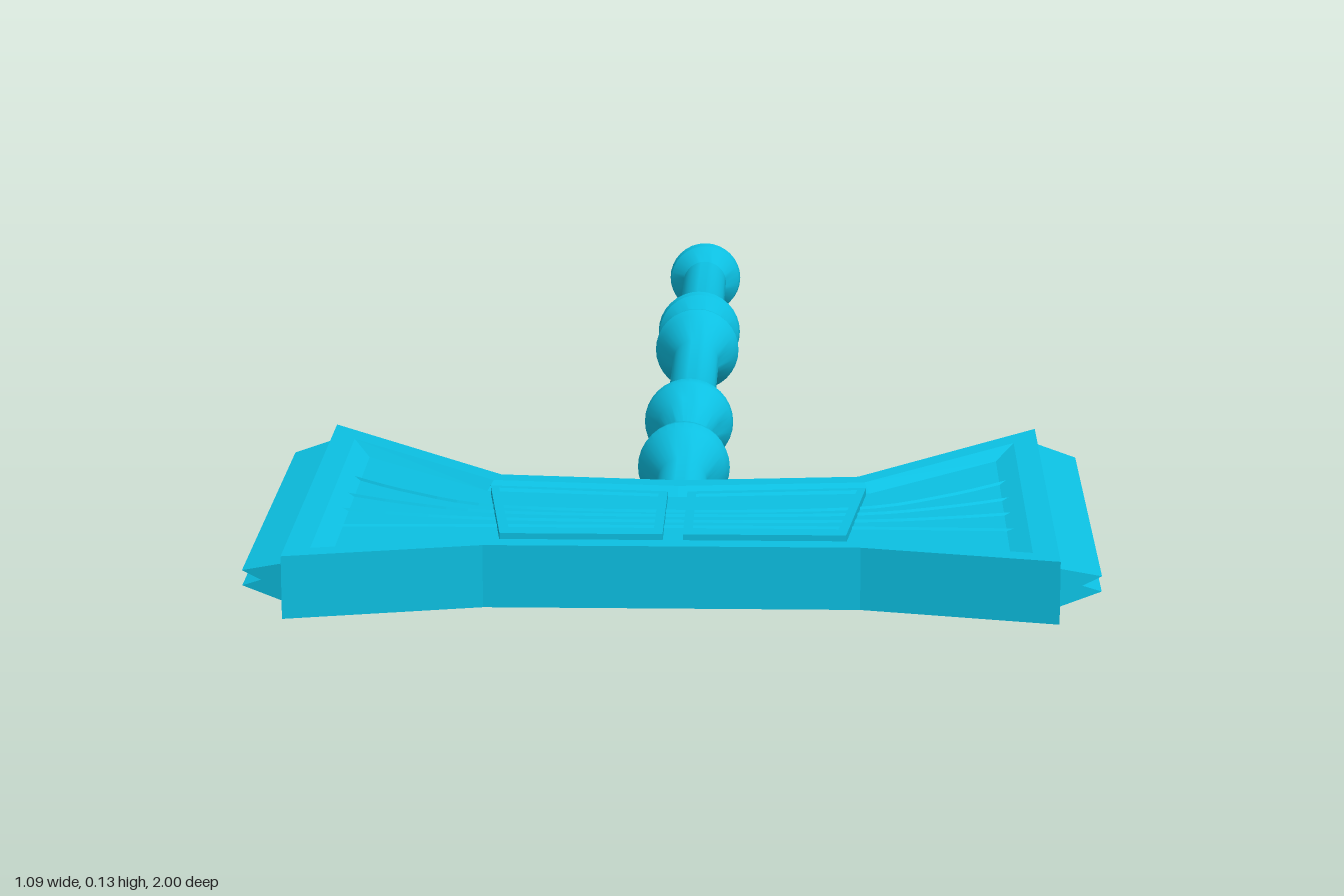
import * as THREE from 'three';
import { toCreasedNormals } from 'three/addons/utils/BufferGeometryUtils.js';

const MID = 0.066; // height of the handle axis
const material = new THREE.MeshStandardMaterial({ color: 0x0cc0e2 });
const flat = new THREE.MeshStandardMaterial({ color: 0x0cc0e2, flatShading: true });

function add(parent, name, geometry, mat = material) {
  const mesh = new THREE.Mesh(geometry, mat);
  mesh.name = name;
  parent.add(mesh);
  return mesh;
}

// Head outline: [x, back z, front z] for the outer edge and the inner recess
const OUTER = [[0, 0.605, 0.94], [0.24, 0.58, 0.94], [0.49, 0.305, 1.0]];
const INNER = [[0, 0.66, 0.885], [0.255, 0.635, 0.885], [0.43, 0.455, 0.925]];

function ring(t, y) {
  const half = OUTER.map((o, i) => o.map((v, k) => v + (INNER[i][k] - v) * t));
  const cols = [half[2], half[1]].map(([x, b, f]) => [-x, b, f]).concat(half);
  const back = cols.map(([x, b]) => [x, y, b]);
  const front = cols.map(([x, , f]) => [x, y, f]).reverse();
  return back.concat(front);
}

// Solid head with a raised rim and a sunken field on both broad sides
function headGeometry() {
  const h = 0.041, field = 0.032;
  const rings = [[1, -field], [0.55, -h], [0, -h], [0, h], [0.55, h], [1, field]]
    .map(([t, y]) => ring(t, MID + y));
  const pos = [];
  const quad = (a, b, c, d) => pos.push(...a, ...b, ...c, ...a, ...c, ...d);
  for (let k = 0; k < rings.length - 1; k++) {
    const a = rings[k], b = rings[k + 1];
    for (let i = 0; i < 10; i++) {
      const j = (i + 1) % 10;
      quad(a[i], b[i], b[j], a[j]);
    }
  }
  const bottom = rings[0], top = rings[rings.length - 1];
  for (let i = 0; i < 4; i++) {
    quad(top[i], top[9 - i], top[8 - i], top[i + 1]);
    quad(bottom[i], bottom[i + 1], bottom[8 - i], bottom[9 - i]);
  }
  const g = new THREE.BufferGeometry();
  g.setAttribute('position', new THREE.Float32BufferAttribute(pos, 3));
  g.computeVertexNormals();
  return g;
}

// Double-pronged edge, its ends tapering towards the tips
function bladeGeometry() {
  const profile = [[0.48, 0.026], [0.49, 0.025], [0.545, 0.01], [0.52, 0], [0.545, -0.01], [0.49, -0.025], [0.48, -0.026]];
  const shape = new THREE.Shape(profile.map(([x, y]) => new THREE.Vector2(x, y + MID)));
  const g = new THREE.ExtrudeGeometry(shape, { depth: 1, bevelEnabled: false });
  const p = g.attributes.position;
  for (let i = 0; i < p.count; i++) {
    const half = 0.325 - (p.getX(i) - 0.49) * 0.36;
    p.setZ(i, 0.65 + (p.getZ(i) - 0.5) * 2 * half);
  }
  g.computeVertexNormals();
  return g;
}

// Thin four-sided frame lying on the sunken field
function frameGeometry() {
  const corners = (d) => [[0.013 + d, 0.668 + d], [0.25 - d, 0.643 + d], [0.222 - d, 0.885 - d], [0.013 + d, 0.885 - d]]
    .map(([x, z]) => new THREE.Vector2(x, -z));
  const shape = new THREE.Shape(corners(0));
  shape.holes.push(new THREE.Path(corners(0.012)));
  const g = new THREE.ExtrudeGeometry(shape, { depth: 0.012, bevelEnabled: false });
  return g.rotateX(-Math.PI / 2);
}

// Fine ridge running across the field and fanning out to the edge
function ridgeGeometry(zMid, zEnd) {
  const half = [[0.24, zMid], [0.36, zMid + (zEnd - zMid) * 0.42], [0.465, zEnd]];
  const points = half.map(([x, z]) => [-x, z]).reverse().concat(half)
    .map(([x, z]) => new THREE.Vector3(x, 0, z));
  return new THREE.TubeGeometry(new THREE.CatmullRomCurve3(points), 32, 0.005, 4);
}

export function createModel() {
  const model = new THREE.Group();
  model.name = 'battleAxe';

  // Turned handle: [radius, z]
  const turned = [[0, -0.94], [0.026, -0.94], [0.058, -0.9], [0.056, -0.885], [0.035, -0.86], [0.035, -0.57],
    [0.058, -0.505], [0.064, -0.49], [0.062, -0.475], [0.03, -0.44], [0.03, -0.41],
    [0.062, -0.373], [0.064, -0.36], [0.058, -0.345], [0.035, -0.275], [0.035, 0.02],
    [0.058, 0.09], [0.064, 0.107], [0.062, 0.122], [0.045, 0.15], [0.024, 0.24],
    [0.045, 0.325], [0.062, 0.358], [0.064, 0.373], [0.058, 0.39], [0.035, 0.46], [0.035, 0.63]];
  const lathe = new THREE.LatheGeometry(turned.map(([r, z]) => new THREE.Vector2(r, z)), 32);
  const handle = add(model, 'handle', toCreasedNormals(lathe.rotateX(Math.PI / 2), 0.5));
  handle.position.y = MID;

  // Pommel spike
  const spike = add(model, 'pommelSpike', new THREE.ConeGeometry(0.02, 0.065, 8).rotateX(-Math.PI / 2), flat);
  spike.position.set(0, MID, -0.9675);

  // Head and its two cutting edges
  const head = new THREE.Group();
  head.name = 'head';
  model.add(head);
  add(head, 'headBody', headGeometry(), flat);
  add(head, 'leftBlade', bladeGeometry(), flat);
  add(head, 'rightBlade', bladeGeometry(), flat).rotation.z = Math.PI;
  head.getObjectByName('rightBlade').position.y = 2 * MID;

  // Panel frames and ridges on both broad sides
  for (const [side, s] of [['top', 1], ['bottom', -1]]) {
    const decor = new THREE.Group();
    decor.name = side + 'Ornament';
    decor.position.y = MID + s * 0.03;
    decor.scale.y = s;
    head.add(decor);
    for (const m of [1, -1]) {
      add(decor, m > 0 ? 'leftPanelFrame' : 'rightPanelFrame', frameGeometry(), flat).scale.x = m;
    }
    [[0.715, 0.545], [0.745, 0.645], [0.78, 0.73], [0.815, 0.82]].forEach(([zMid, zEnd], i) => {
      add(decor, 'ridge' + (i + 1), ridgeGeometry(zMid, zEnd), flat);
    });
  }
  return model;
}
